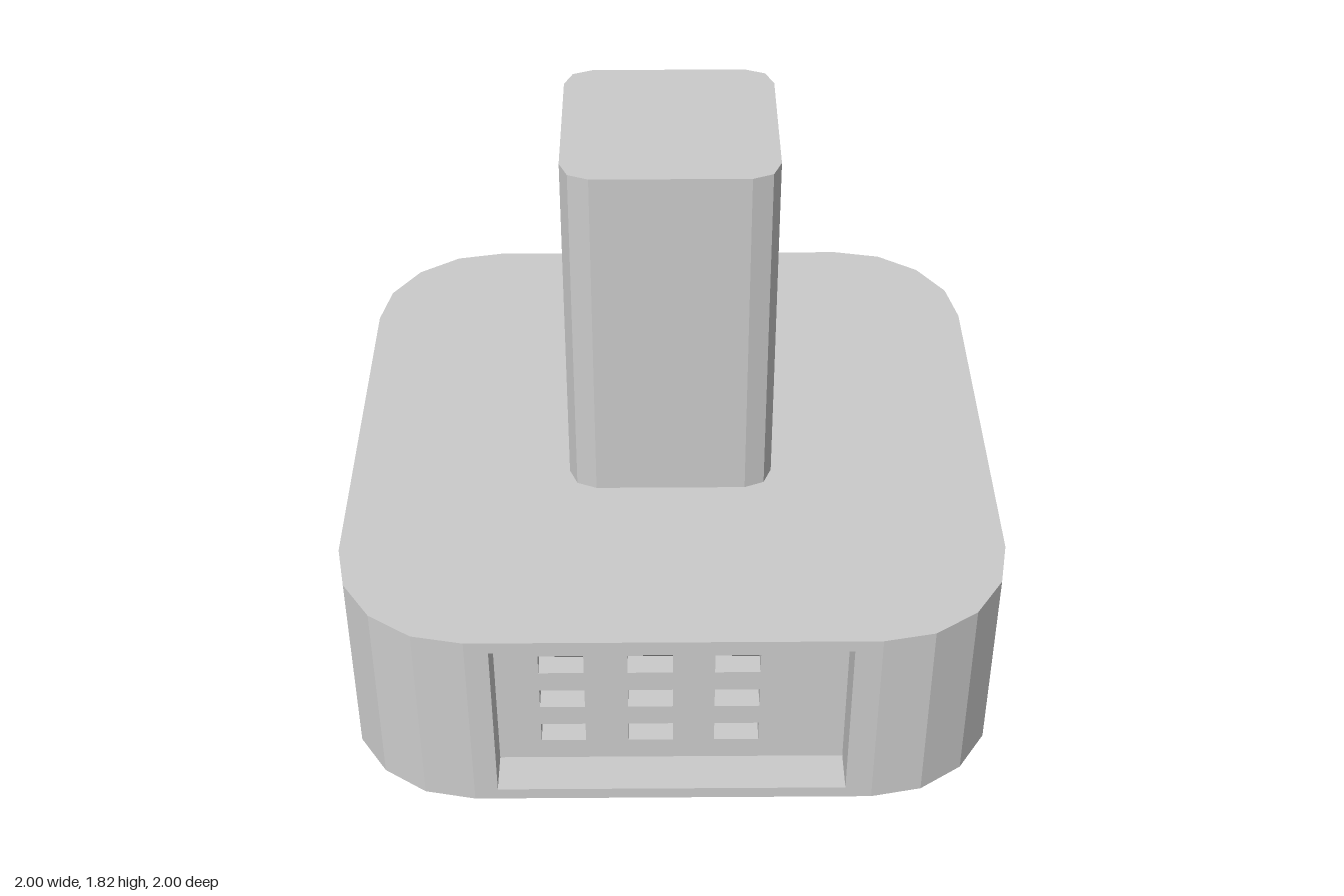
import * as THREE from 'three';

const grey = new THREE.MeshStandardMaterial({ color: 0xcccccc, flatShading: true, side: THREE.DoubleSide });
const black = new THREE.MeshStandardMaterial({ color: 0x0a0a0a, side: THREE.DoubleSide });
const TOP = 0.7;

// Rounded square as points (x, z), running from the front edge round the +x side
function roundedSquare(half, radius, segments) {
  const pts = [];
  for (let c = 0; c < 4; c++) {
    const mid = (c + 0.5) * Math.PI / 2;
    const cx = Math.sign(Math.sin(mid)) * (half - radius);
    const cz = Math.sign(Math.cos(mid)) * (half - radius);
    for (let i = 0; i <= segments; i++) {
      const t = (c + i / segments) * Math.PI / 2;
      pts.push(new THREE.Vector2(cx + radius * Math.sin(t), cz + radius * Math.cos(t)));
    }
  }
  return pts;
}

// The underside dips gently towards the notch at the back
function bottomY(x, z) {
  const along = THREE.MathUtils.clamp((0.45 - z) / 1.2, 0, 1);
  const across = THREE.MathUtils.clamp(1 - Math.abs(x - 0.35) / 1.3, 0, 1);
  return 0.05 - 0.04 * along * across;
}

function rectPath(u0, u1, v0, v1) {
  return new THREE.Path([[u0, v0], [u1, v0], [u1, v1], [u0, v1]].map(p => new THREE.Vector2(...p)));
}

// Column of louvre slots between u0 and u1
function louvres(u0, u1) {
  return Array.from({ length: 11 }, (_, i) => rectPath(u0, u1, 0.17 + i * 0.045, 0.198 + i * 0.045));
}

export function createModel() {
  const group = new THREE.Group();
  const add = (name, geometry, material = grey, parent = group) => {
    const mesh = new THREE.Mesh(geometry, material);
    mesh.name = name;
    parent.add(mesh);
    return mesh;
  };

  const outline = roundedSquare(1, 0.4, 4);
  const facet = outline[0].distanceTo(outline[1]);
  const e = 0.003;

  // Openings in the walls, by wall index
  const speaker = Array.from({ length: 55 }, (_, i) => {
    const r = 0.13 * Math.sqrt((i + 0.5) / 55), a = i * 2.4;
    return new THREE.Path().absarc(0.81 + r * Math.cos(a), 0.29 + r * Math.sin(a), 0.004, 0, Math.PI * 2);
  });
  const openings = {
    19: [rectPath(0.07, 1.12, 0.09, 0.66)],
    9: speaker,
    10: louvres(e, facet - e),
    11: louvres(facet * 0.67, facet - e),
    12: louvres(e, facet * 0.7),
    13: louvres(facet * 0.4, facet - e),
    14: louvres(e, 0.11)
  };

  // Base walls, one panel per side of the outline
  const walls = new THREE.Group();
  walls.name = 'baseWalls';
  group.add(walls);
  outline.forEach((a, i) => {
    const b = outline[(i + 1) % outline.length];
    const w = a.distanceTo(b);
    const ya = bottomY(a.x, a.y), yb = bottomY(b.x, b.y);
    const start = i === 9 ? [[0, 0.31], [0.48, 0.36], [0.48, bottomY(0.12, -1)]] : [[0, ya]];
    const shape = new THREE.Shape([...start, [w, yb], [w, TOP], [0, TOP]].map(p => new THREE.Vector2(...p)));
    shape.holes = openings[i] || [];
    const depth = i === 19 ? 0.13 : 0.05;
    const dir = new THREE.Vector3(b.x - a.x, 0, b.y - a.y).normalize();
    const up = new THREE.Vector3(0, 1, 0);
    const frame = new THREE.Matrix4().makeBasis(dir, up, dir.clone().cross(up)).setPosition(a.x, 0, a.y);
    const geo = new THREE.ExtrudeGeometry(shape, { depth, bevelEnabled: false, curveSegments: 3 });
    add('wallPanel', geo.translate(0, 0, -depth).applyMatrix4(frame), grey, walls);
    // Closed backing behind the slots and speaker holes
    if (openings[i] && i !== 19) {
      const back = new THREE.Shape(shape.getPoints());
      add('wallBacking', new THREE.ShapeGeometry(back).translate(0, 0, -depth).applyMatrix4(frame), grey, walls);
    }
  });

  // Flat top of the base
  add('baseTop', new THREE.ShapeGeometry(new THREE.Shape(outline)).rotateX(-Math.PI / 2).translate(0, TOP, 0));

  // Underside with the notch cut into its back edge
  const notch = [[0.6, -1], [0.49, -0.72], [0.16, -0.73], [0.12, -1]].map(p => new THREE.Vector2(...p));
  const under = new THREE.ShapeGeometry(new THREE.Shape([...outline.slice(0, 9), ...notch, ...outline.slice(10)]));
  const pos = under.attributes.position;
  for (let i = 0; i < pos.count; i++) {
    const x = pos.getX(i), z = pos.getY(i);
    pos.setXYZ(i, x, bottomY(x, z), z);
  }
  under.computeVertexNormals();
  add('baseUnderside', under);

  // Notch walls and ceiling
  const notchPoints = [];
  notch.forEach((p, i) => {
    notchPoints.push(p.x, bottomY(p.x, p.y), p.y, p.x, i < 2 ? 0.31 : 0.36, p.y);
  });
  const notchGeo = new THREE.BufferGeometry();
  notchGeo.setAttribute('position', new THREE.Float32BufferAttribute(notchPoints, 3));
  const faces = [1, 5, 3, 1, 7, 5];
  for (let i = 0; i < 6; i += 2) faces.push(i, i + 1, i + 2, i + 1, i + 3, i + 2);
  notchGeo.setIndex(faces);
  notchGeo.computeVertexNormals();
  add('notchLining', notchGeo);

  // Ball held in the notch
  add('ball', new THREE.SphereGeometry(0.15, 24, 16), black).position.set(0.35, 0.2, -0.83);

  // Recessed front plate with a three by three grid of holes
  const plate = new THREE.Shape(rectPath(-0.56, 0.56, 0.07, 0.68).getPoints());
  for (const x of [-0.4, -0.135, 0.125]) {
    for (const y of [0.165, 0.308, 0.45]) plate.holes.push(rectPath(x, x + 0.135, y, y + 0.07));
  }
  add('frontPlate', new THREE.ExtrudeGeometry(plate, { depth: 0.07, bevelEnabled: false }).translate(0, 0, 0.8));
  add('holeBacking', new THREE.BoxGeometry(1, 0.5, 0.02).translate(0, 0.35, 0.785), black);

  // Upright post
  const post = new THREE.ExtrudeGeometry(new THREE.Shape(roundedSquare(0.315, 0.085, 2)), { depth: 1.12, bevelEnabled: false });
  add('post', post.rotateX(-Math.PI / 2).translate(-0.003, TOP, 0));

  // Two rows of short hexagonal pegs under the front edge
  const pegs = new THREE.Group();
  pegs.name = 'pegs';
  group.add(pegs);
  for (let i = 0; i < 7; i++) {
    for (const z of [0.84, 0.7]) {
      add('peg', new THREE.CylinderGeometry(0.034, 0.034, 0.06, 6), grey, pegs).position.set(-0.622 + i * 0.201, 0.03, z);
    }
  }
  return group;
}
